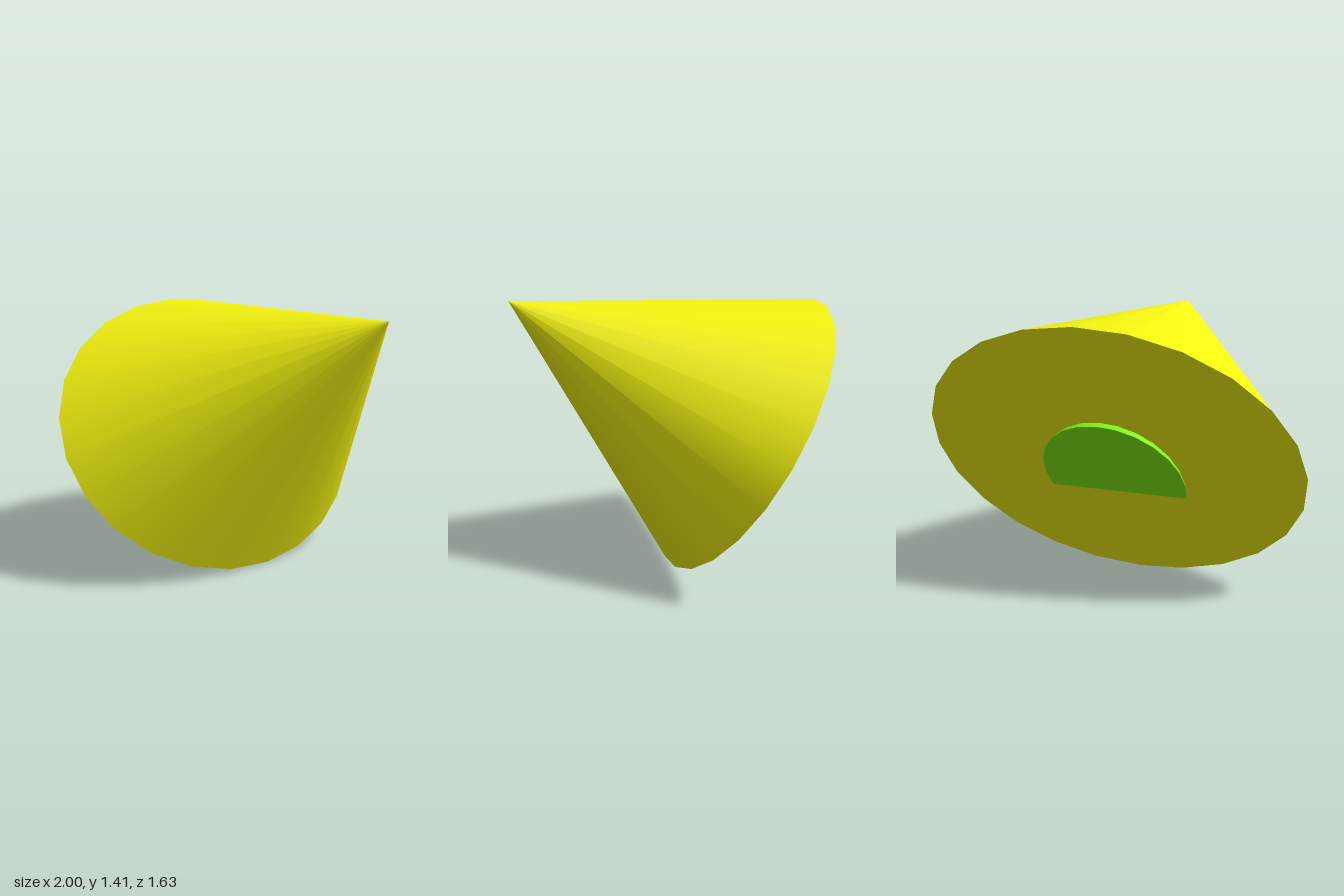
import * as THREE from 'three';

// Cone with an elliptical base, given by base centre, radii, height and lean of its tip towards +z
function leaningCone(name, color, { rx, rz, height, y, z, lean }) {
  const geometry = new THREE.ConeGeometry(1, height, 24);
  geometry.translate(0, height / 2, 0);
  geometry.scale(rx, 1, rz);
  const mesh = new THREE.Mesh(geometry, new THREE.MeshStandardMaterial({ color }));
  mesh.name = name;
  mesh.rotation.x = THREE.MathUtils.degToRad(lean);
  mesh.position.set(0, y, z);
  return mesh;
}

export function createModel() {
  const model = new THREE.Group();
  model.name = 'cone';
  // Large body, resting on the lowest point of its rim
  model.add(leaningCone('body', 0xf5f510, { rx: 1, rz: 0.815, height: 1.41, y: 0.706, z: -0.407, lean: 60 }));
  // Inner cone whose base pokes out of the back at a slight tilt
  model.add(leaningCone('innerCone', 0x80f210, { rx: 0.385, rz: 0.385, height: 1.2, y: 0.593, z: -0.351, lean: 55.3 }));
  return model;
}
